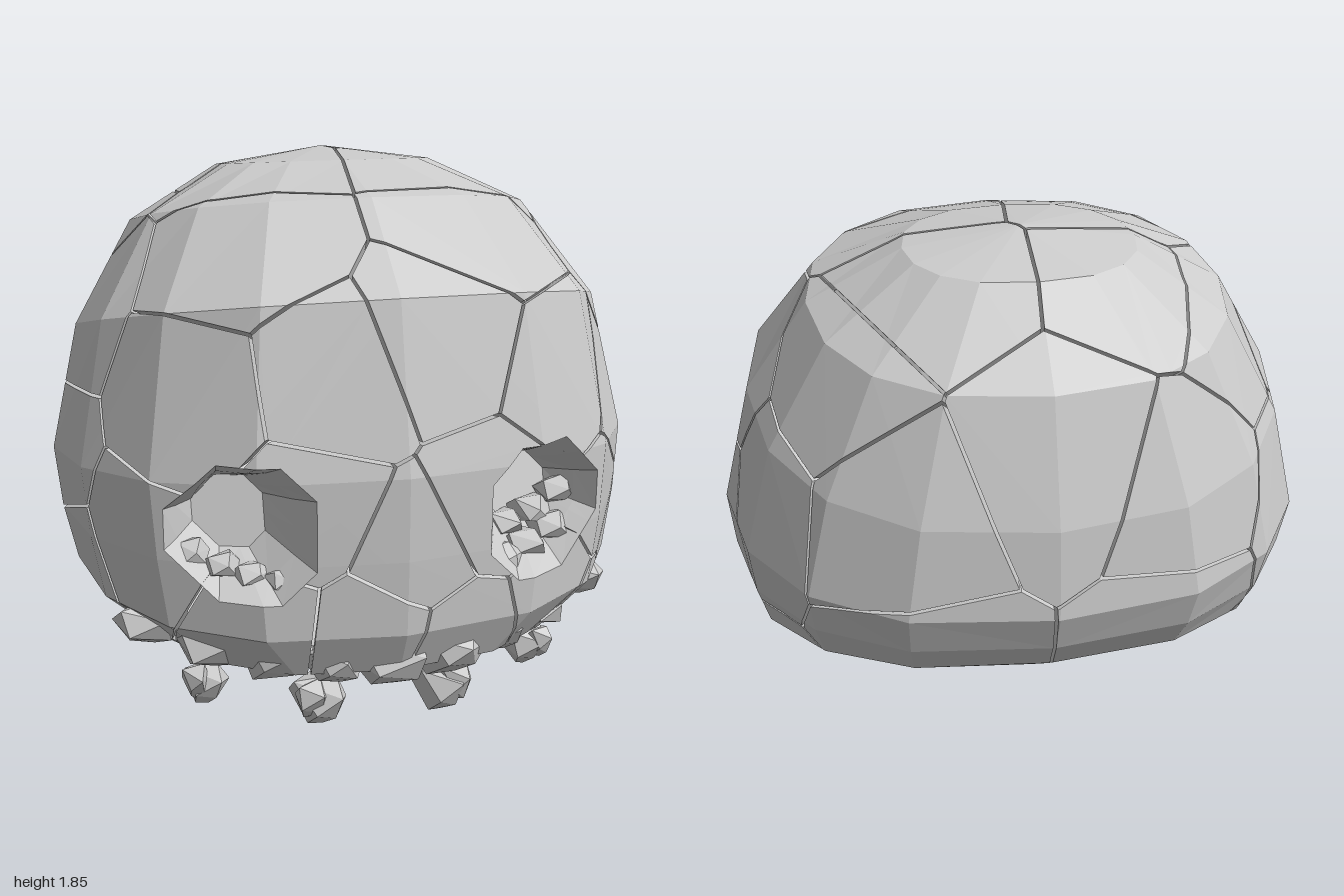
import * as THREE from 'three';
import { ConvexGeometry } from 'three/addons/geometries/ConvexGeometry.js';

const V = (x, y, z) => new THREE.Vector3(x, y, z);
const CY = 0.95; // height of the head centre; plates are built around it
const mat = new THREE.MeshStandardMaterial({ color: 0xcccccc, flatShading: true });

let seed = 7;
const rnd = () => (seed = (seed * 16807) % 2147483647) / 2147483647;

// Keep the part of a convex polygon where n.p <= d
function clip(poly, n, d) {
  const out = [];
  poly.forEach((a, i) => {
    const b = poly[(i + 1) % poly.length];
    const da = n.dot(a) - d, db = n.dot(b) - d;
    if (da <= 1e-9) out.push(a);
    if ((da < -1e-9 && db > 1e-9) || (da > 1e-9 && db < -1e-9)) out.push(a.clone().lerp(b, da / (da - db)));
  });
  return out.length > 2 ? out : [];
}

const onPlane = (n, d, a, b) => Math.abs(n.dot(a) - d) < 1e-6 && Math.abs(n.dot(b) - d) < 1e-6;

function meshFrom(polys, name) {
  const points = [];
  for (const p of polys)
    for (let i = 1; i < p.length - 1; i++) points.push(p[0], p[i], p[i + 1]);
  const g = new THREE.BufferGeometry().setFromPoints(points);
  g.computeVertexNormals();
  const m = new THREE.Mesh(g, mat);
  m.name = name;
  return m;
}

// Tilted rings: front z, front y, back z, back y, half width
const RINGS = [
  [0.1, 1.84, -0.5, 1.77, 0.38], [0.44, 1.76, -0.75, 1.5, 0.69],
  [0.76, 1.5, -0.86, 1.1, 0.9], [0.88, 0.97, -0.88, 0.8, 1.0],
  [0.88, 0.7, -0.82, 0.66, 0.98], [0.87, 0.45, -0.74, 0.55, 0.94],
  [0.8, 0.3, -0.45, 0.35, 0.72], [0.64, 0.22, -0.05, 0.24, 0.32],
];

function headFaces() {
  const N = 16, pw = (t, e) => Math.sign(t) * Math.abs(t) ** e;
  const rows = RINGS.map(([zf, yf, zb, yb, w]) => Array.from({ length: N }, (_, i) => {
    const a = (i / N) * Math.PI * 2, c = pw(Math.cos(a), 0.95), s = pw(Math.sin(a), 0.8);
    return V(w * s, (yf + yb) / 2 + (c * (yf - yb)) / 2 - CY, (zf + zb) / 2 + (c * (zf - zb)) / 2);
  }));
  const top = V(0, 1.86 - CY, -0.2), bottom = V(0, 0.19 - CY, 0.32), faces = [];
  const last = rows[rows.length - 1];
  for (let i = 0; i < N; i++) {
    const j = (i + 1) % N;
    faces.push([top, rows[0][i], rows[0][j]], [bottom, last[j], last[i]]);
    for (let r = 0; r < rows.length - 1; r++) {
      const [a, b, c, d] = [rows[r][i], rows[r + 1][i], rows[r + 1][j], rows[r][j]];
      // diagonals mirrored left to right
      if (i < N / 2) faces.push([a, b, c], [a, c, d]);
      else faces.push([a, b, d], [b, c, d]);
    }
  }
  return faces;
}

// Cut an uneven eight-sided eye socket; returns remaining faces and the bowl lining it
function cutSocket(faces, side) {
  const e = V(side * 0.49, 0.78 - CY, 0);
  const planes = Array.from({ length: 8 }, (_, k) => {
    const a = (k * Math.PI) / 4, n = V(side * Math.cos(a), Math.sin(a), 0);
    return { n, d: n.dot(e) + 0.22 + 0.015 * Math.sin(a) + 0.012 * Math.cos(3 * a) };
  });
  // Bowl: slanted lip, then a steeper wall down to a floor that turns outwards
  const shrunk = (p, s) => V(e.x + (p.x - e.x) * s, e.y + (p.y - e.y) * s, 0);
  const inner = (p) => {
    const q = shrunk(p, 0.5);
    return q.setZ(0.52 - 0.35 * (Math.abs(q.x) - 0.49) - 0.3 * (q.y - e.y));
  };
  const lip = (p) => shrunk(p, 0.78).setZ(p.z * 0.6 + inner(p).z * 0.4);
  const kept = [], lining = [];
  for (const f of faces) {
    if (f[0].z + f[1].z + f[2].z < 0.3) { kept.push(f); continue; }
    let inside = f;
    const outside = [];
    for (const { n, d } of planes) {
      const o = clip(inside, n.clone().negate(), -d);
      if (o.length) outside.push(o);
      inside = clip(inside, n, d);
      if (!inside.length) break;
    }
    if (!inside.length) { kept.push(f); continue; }
    kept.push(...outside);
    inside.forEach((a, i) => {
      const b = inside[(i + 1) % inside.length];
      if (planes.some(({ n, d }) => onPlane(n, d, a, b)))
        lining.push([a, b, lip(b), lip(a)], [lip(a), lip(b), inner(b), inner(a)]);
    });
  }
  let floor = [V(-2, -2, 0), V(2, -2, 0), V(2, 2, 0), V(-2, 2, 0)];
  for (const { n, d } of planes) floor = clip(floor, n, d);
  lining.push(floor.map(inner));
  return { kept, lining };
}

// Plate centres: pairs are mirrored, then nudged so the cracks are uneven
const PAIRS = [
  [0.22, 1.3, 0.8], [0.4, 1.62, 0.5], [0.62, 1.18, 0.65], [0.28, 0.8, 0.86], [0.15, 0.4, 0.86],
  [0.5, 0.46, 0.75], [0.76, 0.72, 0.5], [0.9, 1.35, 0.05], [1, 0.9, 0.05], [0.9, 1, -0.38],
  [0.85, 0.56, 0.25], [0.65, 0.38, -0.1], [0.28, 1.82, 0.05], [0.35, 1.75, -0.4], [0.7, 1.5, -0.4],
  [0.5, 1.1, -0.75], [0.35, 0.65, -0.8], [0.28, 0.22, 0.3],
];
const SINGLES = [[0, 0.7, 0.88], [0, 1.25, -0.86], [0, 0.32, -0.3], [0.7, 0.42, 0.55], [0.8, 0.95, 0.45]];

function plateCentres() {
  const nudge = () => (rnd() - 0.5) * 0.16;
  return [...PAIRS, ...PAIRS.map(([x, y, z]) => [-x, y, z]), ...SINGLES]
    .map(([x, y, z]) => V(x + nudge(), y - CY + nudge(), z + nudge()).normalize());
}

// One plate: outer faces, crack walls and inner faces
function plate(faces, centres, i) {
  const gap = 0.005, thick = 0.92;
  const planes = centres.filter((_, k) => k !== i).map((c) => c.clone().sub(centres[i]).normalize());
  const out = [], inner = (p) => p.clone().multiplyScalar(thick);
  for (let p of faces) {
    for (const n of planes) p = clip(p, n, -gap);
    if (!p.length) continue;
    out.push(p, p.map(inner).reverse());
    p.forEach((a, k) => {
      const b = p[(k + 1) % p.length];
      if (planes.some((n) => onPlane(n, -gap, a, b))) out.push([b, a, inner(a), inner(b)]);
    });
  }
  return meshFrom(out, 'skullPlate' + (i + 1));
}

// Irregular convex shard inside an ellipsoid; taper widens the top
function shard(name, [x, y, z], [rx, ry, rz], taper = 0) {
  const pts = Array.from({ length: 11 }, (_, k) => {
    const h = 1 - (2 * (k + 0.5)) / 11, a = k * 2.4 + rnd() * 0.6, j = 0.85 + rnd() * 0.25;
    const q = Math.sqrt(1 - h * h) * j * (1 + taper * h);
    return V(rx * q * Math.cos(a), ry * h * j, rz * q * Math.sin(a));
  });
  const m = new THREE.Mesh(new ConvexGeometry(pts), mat);
  m.name = name;
  m.position.set(x, y, z);
  return m;
}

export function createModel() {
  const model = new THREE.Group();
  model.name = 'crackedSkull';
  const head = new THREE.Group();
  head.name = 'cranium';
  head.position.y = CY;
  model.add(head);

  let faces = headFaces();
  for (const [name, side] of [['rightEyeSocket', -1], ['leftEyeSocket', 1]]) {
    const { kept, lining } = cutSocket(faces, side);
    faces = kept;
    head.add(meshFrom(lining, name));
  }
  const centres = plateCentres();
  centres.forEach((_, i) => head.add(plate(faces, centres, i)));

  for (const side of [-1, 1]) {
    // Loose teeth: a tapered main piece and a splinter leaning on it
    for (const [x, y, z, r] of [[0.57, 0.16, 0.45, 0.08], [0.21, 0.115, 0.58, 0.095]]) {
      model.add(shard('tooth', [side * x, y, z], [r, r * 1.15, r * 1.15], 0.5));
      model.add(shard('toothSplinter', [side * (x + 0.04), y + 0.025, z + 0.04], [r * 0.6, r * 0.9, r * 0.7], 0.5));
    }
    // Chips lying in the sockets, larger and more of them on the left
    const count = side > 0 ? 6 : 4, r = side > 0 ? 0.085 : 0.07;
    for (let k = 0; k < count; k++) {
      const t = k / (count - 1), lift = side > 0 ? 0.07 * (k % 2) : 0;
      model.add(shard('socketChip', [side * (0.36 + 0.27 * t), 0.62 + 0.07 * t * t + lift, 0.71 - 0.12 * t - lift], [r, r * 0.7, r]));
    }
  }
  // Broken upper jaw edge, curving round the front
  for (let k = 0; k < 9; k++) {
    const a = (k / 8 - 0.5) * 2, r = 0.09 + 0.03 * rnd();
    model.add(shard('jawFragment', [0.76 * a, 0.31 + 0.09 * a * a, 0.74 - 0.29 * a * a], [r * 1.2, r * 0.9, r], 0.3));
  }
  return model;
}
